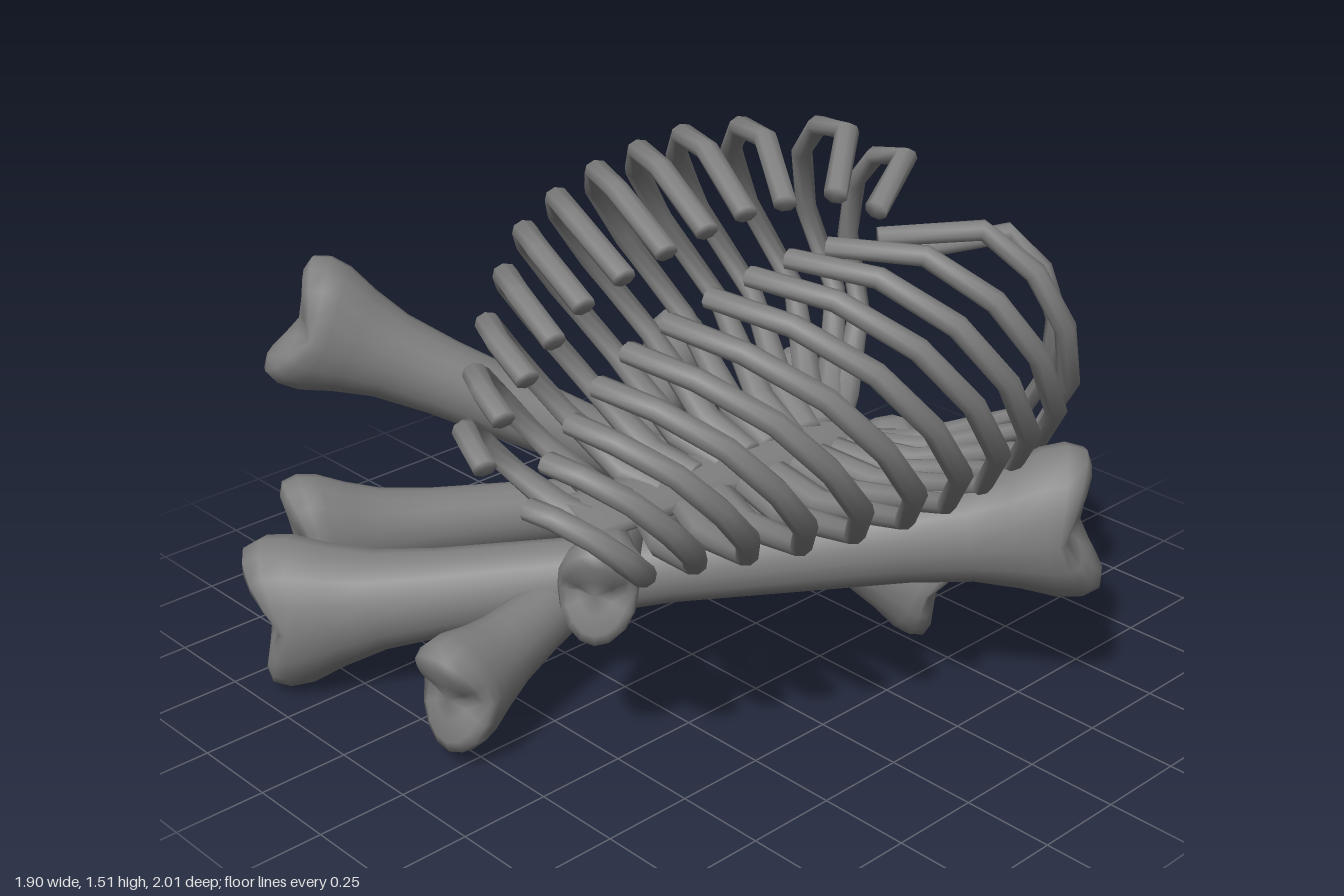
import * as THREE from 'three';

const UP = new THREE.Vector3(0, 1, 0);
const FORWARD = new THREE.Vector3(0, 0, 1);

// Skin a list of equal-length vertex rings; the outer rings are closed with a fan
function skin(rings) {
  const n = rings[0].length, pos = [], index = [];
  rings.forEach(r => r.forEach(p => pos.push(p.x, p.y, p.z)));
  for (let i = 0; i < rings.length - 1; i++) {
    for (let j = 0; j < n; j++) {
      const a = i * n + j, b = i * n + (j + 1) % n;
      index.push(a, b, a + n, b, b + n, a + n);
    }
  }
  [0, rings.length - 1].forEach((ri, last) => {
    const c = rings[ri].reduce((s, p) => s.add(p), new THREE.Vector3()).divideScalar(n);
    const ci = pos.length / 3;
    pos.push(c.x, c.y, c.z);
    for (let j = 0; j < n; j++) {
      const a = ri * n + j, b = ri * n + (j + 1) % n;
      if (last) index.push(ci, a, b); else index.push(ci, b, a);
    }
  });
  const g = new THREE.BufferGeometry();
  g.setAttribute('position', new THREE.Float32BufferAttribute(pos, 3));
  g.setIndex(index);
  g.computeVertexNormals();
  return g;
}

// Elliptical ring: half-size wa along axis a, wb along d x a; shift moves points along d
function ring(center, d, ref, wa, wb, n, shift = () => 0) {
  const a = ref.clone().addScaledVector(d, -ref.dot(d)).normalize();
  const b = d.clone().cross(a);
  return Array.from({ length: n }, (_, j) => {
    const t = j / n * Math.PI * 2;
    return center.clone().addScaledVector(a, Math.cos(t) * wa)
      .addScaledVector(b, Math.sin(t) * wb).addScaledVector(d, shift(Math.cos(t)));
  });
}

// Long bone with a two-lobed knuckle at each end
function boneGeometry(from, to, w0, w1) {
  const p = new THREE.Vector3(...from), q = new THREE.Vector3(...to);
  const d = q.clone().sub(p), len = d.length();
  d.normalize();
  // distance from end, width, thickness, notch depth (all relative to knuckle half-width)
  const knuckle = [
    [0.12, 0.35, 0.32, 0.26], [0.01, 0.70, 0.56, 0.42], [0.05, 0.92, 0.68, 0.42],
    [0.28, 1.01, 0.73, 0.26], [0.60, 0.98, 0.72, 0.10], [1.05, 0.80, 0.66, 0],
    [1.60, 0.64, 0.58, 0], [2.40, 0.56, 0.51, 0],
  ];
  const half = (end, sign, w) => knuckle.map(([s, a, b, notch]) =>
    ring(end.clone().addScaledVector(d, sign * s * w), d, UP, a * w, b * w, 16,
      c => sign * notch * w * (1 - Math.abs(c))));
  const m = (w0 + w1) / 2;
  const middle = ring(p.clone().addScaledVector(d, len / 2), d, UP, m * 0.46, m * 0.43, 16);
  return skin([...half(p, 1, w0), middle, ...half(q, -1, w1).reverse()]);
}

// Rib: bar along a bent path, thicker at the spine
function ribGeometry(points) {
  const last = points.length - 1;
  return skin(points.map((p, i) => {
    const d = points[Math.min(i + 1, last)].clone().sub(points[Math.max(i - 1, 0)]).normalize();
    const k = i < 2 ? 1.35 : 1;
    return ring(p, d, FORWARD, 0.032 * k, 0.026 * k, 8);
  }));
}

export function createModel() {
  const group = new THREE.Group();
  const bone = new THREE.MeshStandardMaterial({ color: 0x808080 });
  bone.name = 'bone grey';
  const add = (name, geometry, parent) => {
    const mesh = new THREE.Mesh(geometry, bone);
    mesh.name = name;
    parent.add(mesh);
  };

  // Crossed pile of long bones
  const pile = new THREE.Group();
  pile.name = 'bonePile';
  group.add(pile);
  [
    ['frontCrossBone', [-0.71, 0.215, 0.94], [0.90, 0.565, -0.59], 0.215, 0.21],
    ['raisedBone', [-0.72, 1.04, 0.77], [0.47, 0.205, -0.53], 0.185, 0.165],
    ['smallBone', [-0.62, 0.595, -0.54], [0.29, 0.525, 0.61], 0.14, 0.14],
    ['longLowBone', [-0.86, 0.315, 0.75], [-0.08, 0.21, -0.99], 0.18, 0.185],
    ['slopingBone', [-0.01, 0.205, 0.87], [-0.32, 0.49, -0.79], 0.165, 0.145],
  ].forEach(([name, a, b, w0, w1]) => add(name, boneGeometry(a, b, w0, w1), pile));

  // Rib cage lying on its spine, leaning to one side
  const cage = new THREE.Group();
  cage.name = 'ribCage';
  group.add(cage);
  const lean = 0.225;
  const r = new THREE.Vector3(Math.cos(lean), -Math.sin(lean), 0);
  const u = new THREE.Vector3(Math.sin(lean), Math.cos(lean), 0);
  const lerp = THREE.MathUtils.lerp;

  // Per rib, back to front: half-width, peak height, z low on the side, at the peak and at the tip
  const ribs = [
    [0.38, 0.70, -0.75, -0.65, -0.43], [0.49, 0.79, -0.73, -0.45, -0.25],
    [0.57, 0.81, -0.62, -0.18, -0.06], [0.61, 0.81, -0.48, 0.01, 0.08],
    [0.62, 0.79, -0.36, 0.16, 0.21], [0.62, 0.76, -0.22, 0.30, 0.34],
    [0.60, 0.72, -0.08, 0.44, 0.47], [0.56, 0.67, 0.07, 0.56, 0.59],
    [0.50, 0.59, 0.21, 0.64, 0.67], [0.43, 0.50, 0.34, 0.72, 0.74],
    [0.36, 0.40, 0.46, 0.78, 0.80], [0.30, 0.27, 0.58, 0.82, 0.84],
  ];
  // Half outline from spine to open tip: width, height, progress from low side to peak
  const outline = [[0.8, 0.2, 0], [1, 0.5, 0.3], [0.98, 0.75, 0.58], [0.8, 0.92, 0.8], [0.5, 1, 1]];

  ribs.forEach(([w, h, lowZ, peakZ, tipZ], i) => {
    const t = i / (ribs.length - 1);
    const base = new THREE.Vector3(lerp(0.17, 0.2, t), lerp(0.6, 0.65, t), 0);
    const spineZ = lerp(-0.42, 0.5, t ** 1.6);
    [-1, 1].forEach(side => {
      const rise = h * (1 - 0.025 * side);
      const at = (x, y, z) => base.clone().addScaledVector(r, side * x)
        .addScaledVector(u, y * rise).setZ(z);
      const path = [at(0.05, 0.02, spineZ), at(0.36 * w, 0.03, lerp(spineZ, lowZ, 0.4))];
      outline.forEach(([x, y, k]) => path.push(at(x * w, y, lerp(lowZ, peakZ, k))));
      path.push(at(0.08, lerp(0.93, 0.97, t), tipZ));
      add((side > 0 ? 'leftRib' : 'rightRib') + (i + 1), ribGeometry(path), cage);
    });
  });

  // Flat spine bar joining the ribs
  const spine = [-0.44, -0.2, 0.1, 0.35, 0.54].map((z, i) =>
    ring(new THREE.Vector3(0.14, 0.61 + i * 0.015, z), FORWARD, r, 0.09, 0.035, 12));
  add('spine', skin(spine), cage);

  return group;
}
